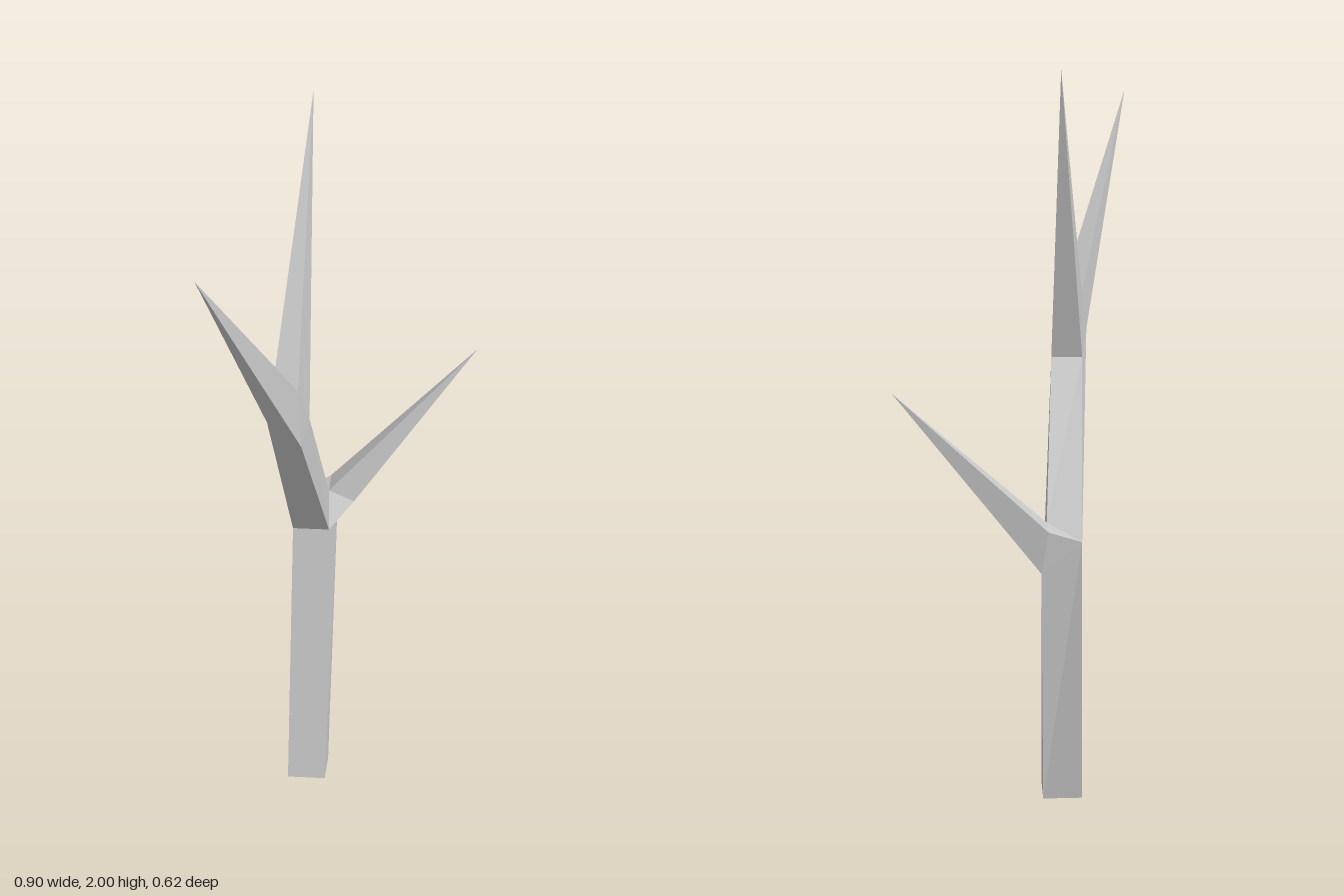
import * as THREE from 'three';

// Corner points of the branch, shared by neighbouring parts
const P = {
  // foot of the trunk
  f0: [-0.01, 0, -0.08], r0: [0.03, 0, -0.17], b0: [-0.065, 0, -0.212], l0: [-0.105, 0, -0.12],
  // lower fork
  f1: [0.04, 0.74, -0.19], r1: [0.095, 0.72, -0.285], b1: [-0.005, 0.80, -0.315], l1: [-0.05, 0.74, -0.228],
  crotch1: [0.055, 0.835, -0.235], back1: [0.085, 0.84, -0.305], front1: [0.12, 0.80, -0.215],
  // upper fork
  f2: [-0.108, 1.14, 0.037], r2: [-0.07, 1.19, -0.012], b2: [-0.14, 1.19, -0.05], l2: [-0.2, 1.23, 0.042],
  front2: [-0.12, 1.31, 0.05], back2: [-0.17, 1.345, 0.012],
  // tips
  sideTip: [0.45, 1.23, -0.172], leftTip: [-0.45, 1.78, 0.31], topTip: [0.01, 2, -0.215],
};
const pick = (names) => names.split(' ').map((n) => P[n]);

// Triangles around two matching rings
function loft(a, b) {
  return a.flatMap((p, i) => {
    const j = (i + 1) % a.length;
    return [[p, a[j], b[j]], [p, b[j], b[i]]];
  });
}

// Triangles from a ring to a point
const spike = (ring, tip) => ring.map((p, i) => [p, ring[(i + 1) % ring.length], tip]);

export function createModel() {
  const group = new THREE.Group();
  group.name = 'bareBranch';
  const material = new THREE.MeshStandardMaterial({ color: 0xcccccc, flatShading: true });

  const add = (name, triangles) => {
    const geometry = new THREE.BufferGeometry();
    geometry.setAttribute('position', new THREE.Float32BufferAttribute(triangles.flat(2), 3));
    geometry.computeVertexNormals();
    const mesh = new THREE.Mesh(geometry, material);
    mesh.name = name;
    group.add(mesh);
  };

  // Four-sided trunk with a closed foot
  const foot = pick('f0 r0 b0 l0');
  add('trunk', [
    ...loft(foot, pick('f1 r1 b1 l1')),
    [foot[0], foot[2], foot[1]], [foot[0], foot[3], foot[2]],
  ]);

  // Small facets that fill the lower fork
  add('lowerFork', ['f1 r1 front1', 'f1 front1 crotch1', 'r1 b1 back1', 'b1 crotch1 back1'].map(pick));

  // Leaning stem between the forks
  add('upperStem', loft(pick('f1 crotch1 b1 l1'), pick('f2 r2 b2 l2')));

  // Small facets that fill the upper fork
  add('upperFork', ['f2 r2 front2', 'b2 l2 back2'].map(pick));

  // Pointed twigs
  add('sideTwig', spike(pick('r1 back1 crotch1 front1'), P.sideTip));
  add('forwardTwig', spike(pick('l2 f2 front2 back2'), P.leftTip));
  add('topTwig', spike(pick('r2 b2 back2 front2'), P.topTip));

  return group;
}
